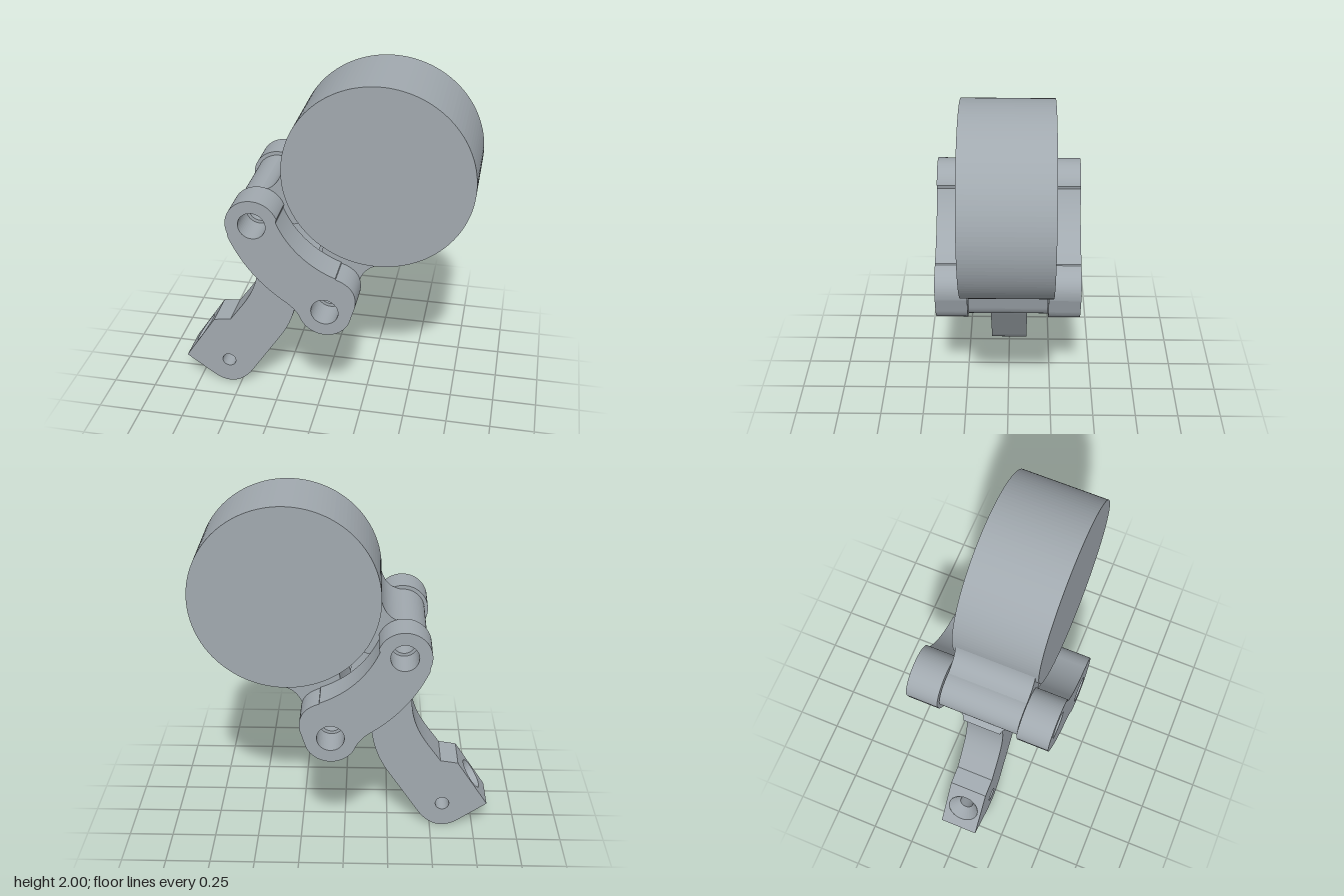
import * as THREE from 'three';

const steel = new THREE.MeshStandardMaterial({ color: 0xa1a9af });
steel.name = 'steel grey';

const rad = THREE.MathUtils.degToRad;
const C = [0.315, 1.487];        // disc centre, also centre of the link arcs
const UPPER = [-0.32, 1.24];     // upper pivot
const LOWER = [0.07, 0.755];     // lower pivot
const polar = (r, deg) => [C[0] + r * Math.cos(rad(deg)), C[1] + r * Math.sin(rad(deg))];

function part(name, geometry) {
  const flat = geometry.index ? geometry.toNonIndexed() : geometry;
  flat.computeVertexNormals();
  const mesh = new THREE.Mesh(flat, steel);
  mesh.name = name;
  return mesh;
}

function arc(shape, [x, y], r, from, to, clockwise = false) {
  return shape.absarc(x, y, r, rad(from), rad(to), clockwise);
}

function drill(shape, centre, r) {
  shape.holes.push(arc(new THREE.Path(), centre, r, 0, 360, true));
  return shape;
}

function slab(shape, z0, z1, curveSegments = 24) {
  return new THREE.ExtrudeGeometry(shape, { depth: z1 - z0, bevelEnabled: false, curveSegments })
    .translate(0, 0, z0);
}

// Curved side link with an eye at each end
function linkShape() {
  const s = new THREE.Shape();
  arc(s, UPPER, 0.145, 21.3, 201.3);
  arc(s, C, 0.833, 203, 236.5);
  s.quadraticCurveTo(-0.085, 0.75, -0.064, 0.7);
  arc(s, LOWER, 0.145, 202, 340);
  s.lineTo(0.235, 0.8);
  s.quadraticCurveTo(0.255, 0.925, 0.13, 0.965);
  arc(s, C, 0.548, 250, 203, true);
  drill(s, UPPER, 0.075);
  return drill(s, LOWER, 0.075);
}

// Knuckles that blend into the disc
function upperKnuckleShape() {
  const s = new THREE.Shape();
  arc(s, UPPER, 0.125, 85, 310);
  s.quadraticCurveTo(-0.17, 1.195, -0.13, 1.175);
  s.lineTo(-0.08, 1.19);
  s.lineTo(0, 1.4);
  s.lineTo(-0.19, 1.52);
  s.quadraticCurveTo(-0.205, 1.385, -0.309, 1.3645);
  return drill(s, UPPER, 0.06);
}

function lowerKnuckleShape() {
  const s = new THREE.Shape();
  arc(s, LOWER, 0.125, 150, 345);
  s.lineTo(0.225, 0.85);
  s.quadraticCurveTo(0.25, 0.965, 0.37, 0.977);
  s.lineTo(0.3, 1.15);
  s.lineTo(0.03, 1.1);
  s.quadraticCurveTo(0.02, 0.95, -0.038, 0.8175);
  return drill(s, LOWER, 0.06);
}

// Bridge between the links
function bridgeShape() {
  const s = new THREE.Shape();
  arc(s, C, 0.833, 213.5, 238);
  arc(s, C, 0.65, 238, 213.5, true);
  return s;
}

// Slanted end face of the arm, with its countersunk hole
const A = new THREE.Vector3(-0.83, 0.15, 0);
const B = new THREE.Vector3(-0.65, 0.425, 0);
const along = B.clone().sub(A).normalize();
const normal = new THREE.Vector3(-along.y, along.x, 0);

function armGeometry() {
  const s = new THREE.Shape();
  s.moveTo(A.x, A.y);
  s.lineTo(-0.66, 0.03);
  s.quadraticCurveTo(-0.618, 0.001, -0.57, 0);
  s.quadraticCurveTo(-0.493, 0.001, -0.43, 0.09);
  s.lineTo(-0.245, 0.37);
  s.bezierCurveTo(-0.18, 0.47, -0.15, 0.58, -0.15, 0.69);
  s.lineTo(-0.15, 0.81);
  s.lineTo(...polar(0.8, 236));
  s.lineTo(...polar(0.8, 215));
  s.lineTo(-0.375, 1.0);
  s.lineTo(-0.375, 0.85);
  s.bezierCurveTo(-0.375, 0.72, -0.41, 0.64, -0.475, 0.545);
  s.lineTo(-0.55, 0.44);
  s.lineTo(B.x, B.y);
  s.closePath();
  drill(s, [-0.57, 0.148], 0.04);

  // Leave the slanted wall open for the drilled face
  const source = slab(s, -0.11, 0.11).getAttribute('position');
  const kept = [];
  const p = new THREE.Vector3();
  for (let i = 0; i < source.count; i += 3) {
    const corners = [0, 1, 2].map((k) => p.fromBufferAttribute(source, i + k).toArray());
    const onWall = corners.every((c) =>
      Math.abs((c[0] - A.x) * normal.x + (c[1] - A.y) * normal.y) < 1e-4);
    if (!onWall) kept.push(...corners.flat());
  }
  const g = new THREE.BufferGeometry();
  g.setAttribute('position', new THREE.Float32BufferAttribute(kept, 3));
  return g;
}

function drilledFace() {
  const group = new THREE.Group();
  group.name = 'countersunkEnd';
  const half = A.distanceTo(B) / 2;
  const s = new THREE.Shape();
  s.moveTo(-0.11, -half);
  s.lineTo(0.11, -half);
  s.lineTo(0.11, half);
  s.lineTo(-0.11, half);
  s.closePath();
  drill(s, [0, 0], 0.09);
  const profile = [[0.09, 0], [0.04, -0.06], [0.04, -0.17], [0, -0.17]];
  group.add(
    part('endFace', new THREE.ShapeGeometry(s, 24)),
    part('countersink', new THREE.LatheGeometry(
      profile.map(([x, y]) => new THREE.Vector2(x, y)), 32).rotateX(Math.PI / 2)),
  );
  const frame = new THREE.Matrix4().makeBasis(new THREE.Vector3(0, 0, 1), along, normal);
  frame.setPosition(A.clone().lerp(B, 0.5));
  group.applyMatrix4(frame);
  return group;
}

// Flare blending the arm into the bridge, lofted outward ring by ring
function flareGeometry() {
  const steps = 12, rings = 6, depth = 0.06;
  const positions = [], index = [], n = 2 * (steps + 1);
  for (let k = 0; k <= rings; k++) {
    const f = k / rings;
    const spread = 1 - Math.sqrt(1 - (1 - f) ** 2);
    const w = 0.109 + 0.1 * spread;
    for (let j = 0; j < n; j++) {
      const front = j <= steps;
      const t = (front ? j : n - 1 - j) / steps;
      const angle = THREE.MathUtils.lerp(215 - 1.2 * spread, 235.8 + 1.2 * spread, t);
      positions.push(...polar(0.83 + depth * f, angle), front ? w : -w);
      if (k < rings) {
        const a = k * n + j, b = k * n + (j + 1) % n;
        index.push(a, a + n, b, a + n, b + n, b);
      }
    }
  }
  const g = new THREE.BufferGeometry();
  g.setAttribute('position', new THREE.Float32BufferAttribute(positions, 3));
  g.setIndex(index);
  return g;
}

export function createModel() {
  const model = new THREE.Group();
  model.name = 'hingedDiscBracket';

  const head = new THREE.Group();
  head.name = 'discHead';
  head.add(
    part('disc', slab(arc(new THREE.Shape(), C, 0.513, 0, 360), -0.24, 0.24, 64)),
    part('upperKnuckle', slab(upperKnuckleShape(), -0.222, 0.222)),
    part('lowerKnuckle', slab(lowerKnuckleShape(), -0.222, 0.222)),
  );

  const lever = new THREE.Group();
  lever.name = 'lever';
  lever.add(
    part('frontLink', slab(linkShape(), 0.226, 0.405)),
    part('backLink', slab(linkShape(), -0.405, -0.226)),
    part('bridge', slab(bridgeShape(), -0.226, 0.226)),
    part('armFlare', flareGeometry()),
    part('arm', armGeometry()),
    drilledFace(),
  );

  model.add(head, lever);
  return model;
}
